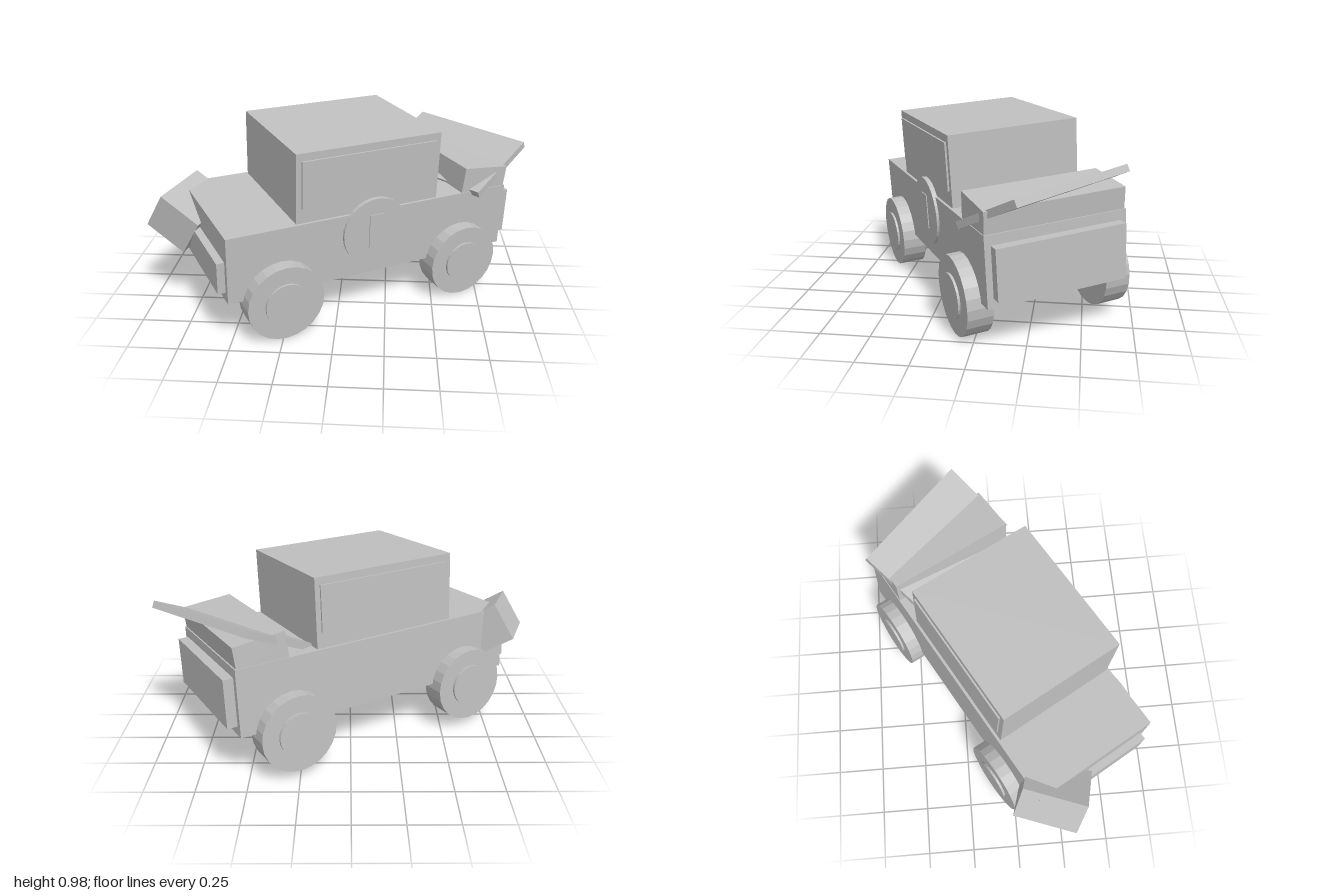
import * as THREE from 'three';

export function createModel() {
  const model = new THREE.Group();
  model.name = 'truck';
  const grey = new THREE.MeshStandardMaterial({ color: 0xc0c0c0, flatShading: true });
  grey.name = 'plain grey';

  // The vehicle stands turned and leaning slightly to one side
  const car = new THREE.Group();
  car.name = 'car';
  car.rotation.set(0.057, Math.PI / 6, 0, 'YXZ');
  car.position.set(-0.0035, 0, -0.006);
  model.add(car);

  const add = (parent, name, geometry) => {
    const mesh = new THREE.Mesh(geometry, grey);
    mesh.name = name;
    parent.add(mesh);
    return mesh;
  };
  // Box given by its limits along length, height and width
  const block = (name, x0, x1, y0, y1, z0, z1) => {
    const mesh = add(car, name, new THREE.BoxGeometry(x1 - x0, y1 - y0, z1 - z0));
    mesh.position.set((x0 + x1) / 2, (y0 + y1) / 2, (z0 + z1) / 2);
    return mesh;
  };
  // Disc with its axis across the vehicle
  const disc = (parent, name, radius, depth, sides, x, y, z) => {
    const mesh = add(parent, name, new THREE.CylinderGeometry(radius, radius, depth, sides).rotateX(Math.PI / 2));
    mesh.position.set(x, y, z);
    return mesh;
  };
  // Tilted box from one corner, two edge directions and three lengths
  const tiltedBox = (name, corner, a, b, lengths) => {
    const ex = new THREE.Vector3(...a).normalize();
    const ez = new THREE.Vector3(...b);
    const ey = ez.clone().cross(ex).normalize();
    ez.crossVectors(ex, ey);
    const [lx, ly, lz] = lengths;
    const geometry = new THREE.BoxGeometry(lx, ly, lz).translate(lx / 2, -ly / 2, lz / 2);
    geometry.applyMatrix4(new THREE.Matrix4().makeBasis(ex, ey, ez).setPosition(...corner));
    return add(model, name, geometry);
  };

  // Body, cabin and end plates
  block('body', -0.784, 0.8, 0.25, 0.6, -0.356, 0.356);
  block('cabin', -0.426, 0.367, 0.59, 0.959, -0.342, 0.342);
  block('frontBumper', -0.823, -0.77, 0.3, 0.465, -0.325, 0.325);
  block('rearPlate', 0.79, 0.852, 0.3, 0.55, -0.325, 0.325);

  // Slightly pitched box on the rear deck
  const rearBox = block('rearBox', 0.529, 0.797, 0.572, 0.722, -0.352, 0.352);
  rearBox.rotation.z = -0.1;

  // Side windows
  for (const side of [1, -1]) {
    const z = side * 0.3465;
    block(side > 0 ? 'leftWindow' : 'rightWindow', -0.398, 0.34, 0.68, 0.92, z - 0.0048, z + 0.0048);
  }

  // Round badge with an upright bar, on one side only
  disc(car, 'sideDisc', 0.18, 0.024, 32, 0, 0.49, 0.358);
  block('sideDiscBar', -0.038, 0.038, 0.4, 0.585, 0.365, 0.375);

  // Wheels with raised hubs
  for (const x of [-0.51, 0.524]) {
    for (const side of [1, -1]) {
      const wheel = new THREE.Group();
      wheel.name = (x < 0 ? 'front' : 'rear') + (side > 0 ? 'Left' : 'Right') + 'Wheel';
      wheel.position.set(x, 0.225, side * 0.362);
      disc(wheel, 'tyre', 0.2, 0.13, 24, 0, 0, 0);
      disc(wheel, 'hub', 0.112, 0.024, 24, 0, 0, side * 0.065);
      car.add(wheel);
    }
  }

  // Askew lid on the rear box and askew block at the front corner
  tiltedBox('rearLid', [0.455, 0.815, -0.685], [0.54, -0.035, 0.475], [-0.29, -0.19, 0.27], [0.72, 0.037, 0.44]);
  tiltedBox('frontBlock', [-0.785, 0.662, 0.03], [0.195, -0.13, 0.055], [-0.11, -0.032, 0.315], [0.241, 0.214, 0.335]);
  return model;
}
